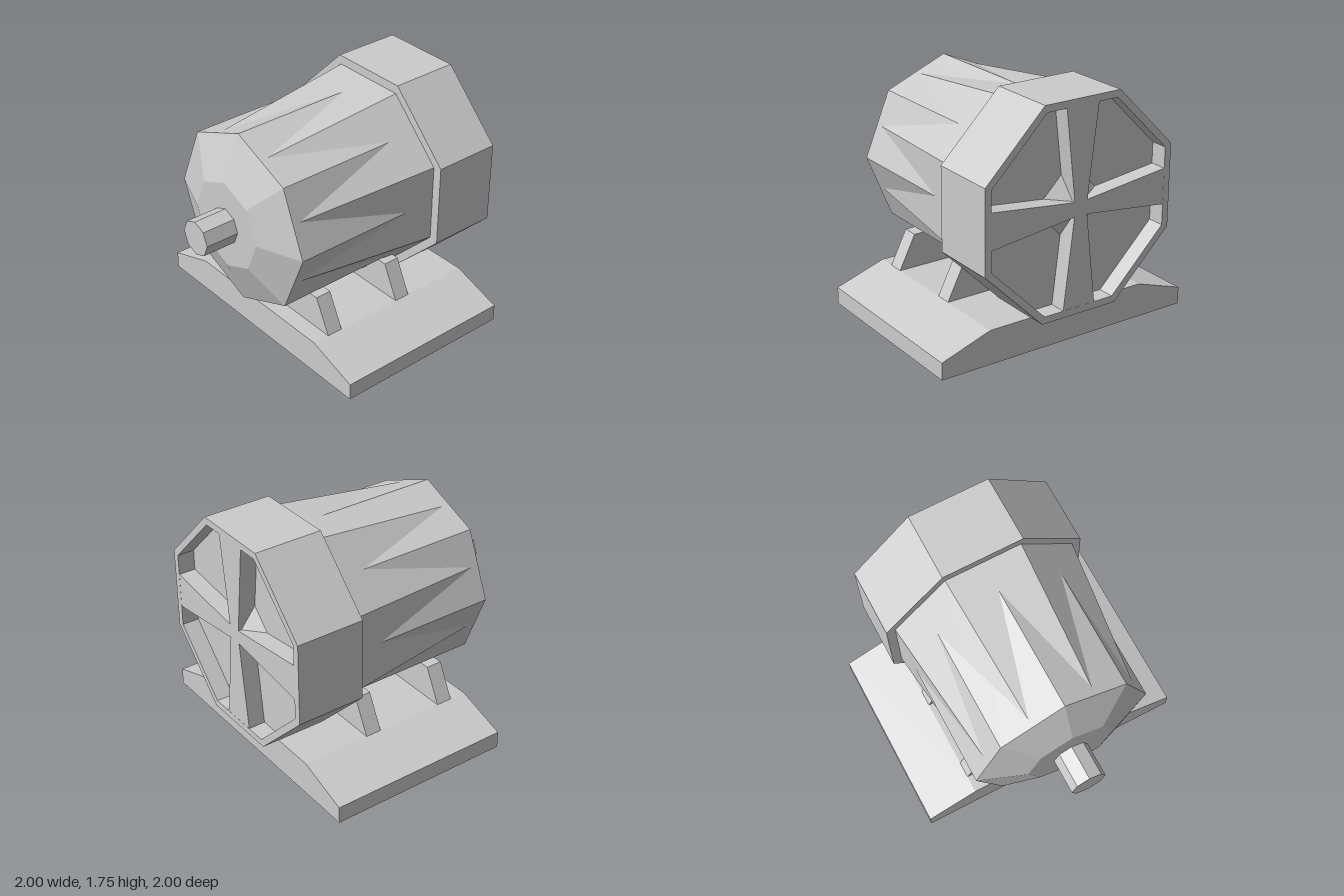
import * as THREE from 'three';

const AXIS_Y = 1; // height of the motor axis

export function createModel() {
  const model = new THREE.Group();
  const material = new THREE.MeshStandardMaterial({ color: 0xcccccc, flatShading: true });

  const add = (name, geometry, parent = model) => {
    const mesh = new THREE.Mesh(geometry, material);
    mesh.name = name;
    parent.add(mesh);
    return mesh;
  };

  // Polygonal frustum along z
  const frustum = (rFront, rBack, zFront, zBack, sides = 8, turn = 0) =>
    new THREE.CylinderGeometry(rFront, rBack, zFront - zBack, sides, 1, false, turn)
      .rotateX(Math.PI / 2)
      .translate(0, 0, (zFront + zBack) / 2);

  // Flat outline extruded between two z positions
  const toPoints = (list) => list.map(([x, y]) => new THREE.Vector2(x, y));
  const plate = (points, zFront, zBack, hole) => {
    const shape = new THREE.Shape(toPoints(points));
    if (hole) shape.holes.push(new THREE.Path(toPoints(hole)));
    return new THREE.ExtrudeGeometry(shape, { depth: zFront - zBack, bevelEnabled: false })
      .translate(0, 0, zBack);
  };

  // Octagon with flat sides up and down: a = half width, b = half side
  const octagon = (a, b) => [
    [b, a], [-b, a], [-a, b], [-a, -b], [-b, -a], [b, -a], [a, -b], [a, b],
  ];

  // Base with sloping shoulders
  add('base', plate([
    [-1, 0], [1, 0], [1, 0.125], [0.625, 0.25], [-0.625, 0.25], [-1, 0.125],
  ], 0.5, -0.875));

  // Two cradle feet
  for (const z of [0.375, -0.25]) {
    add('foot', plate([[-0.625, 0.25], [0.625, 0.25], [0.5, 0.5], [-0.5, 0.5]], z, z - 0.12));
  }

  const motor = new THREE.Group();
  motor.name = 'motor';
  motor.position.y = AXIS_Y;
  model.add(motor);

  // Shaft, nose and body; the turned flare interlocks with the straight barrel
  add('shaft', frustum(0.13, 0.13, 1, 0.74), motor);
  add('nose', frustum(0.33, 0.66, 0.75, 0.625), motor);
  add('barrel', frustum(0.66, 0.66, 0.625, -0.5), motor);
  add('flare', frustum(0.606, 0.741, 0.6, -0.5, 8, Math.PI / 8), motor);

  // Rear housing with a recessed back
  const floorZ = -0.875;
  add('housing', plate(octagon(0.75, 0.3), -0.5, floorZ), motor);
  add('rearRim', plate(octagon(0.75, 0.3), floorZ, -1, octagon(0.7, 0.28)), motor);

  // Rear grille: four spokes widening outwards from a pyramidal hub
  for (let i = 0; i < 4; i++) {
    const spoke = plate([[-0.045, 0], [0.045, 0], [0.13, 0.71], [-0.13, 0.71]], floorZ, -0.999);
    add('rearSpoke', spoke.rotateZ(i * Math.PI / 2), motor);
  }
  add('rearHub', frustum(0.28, 0.06, floorZ, -0.999, 4), motor);

  return model;
}
